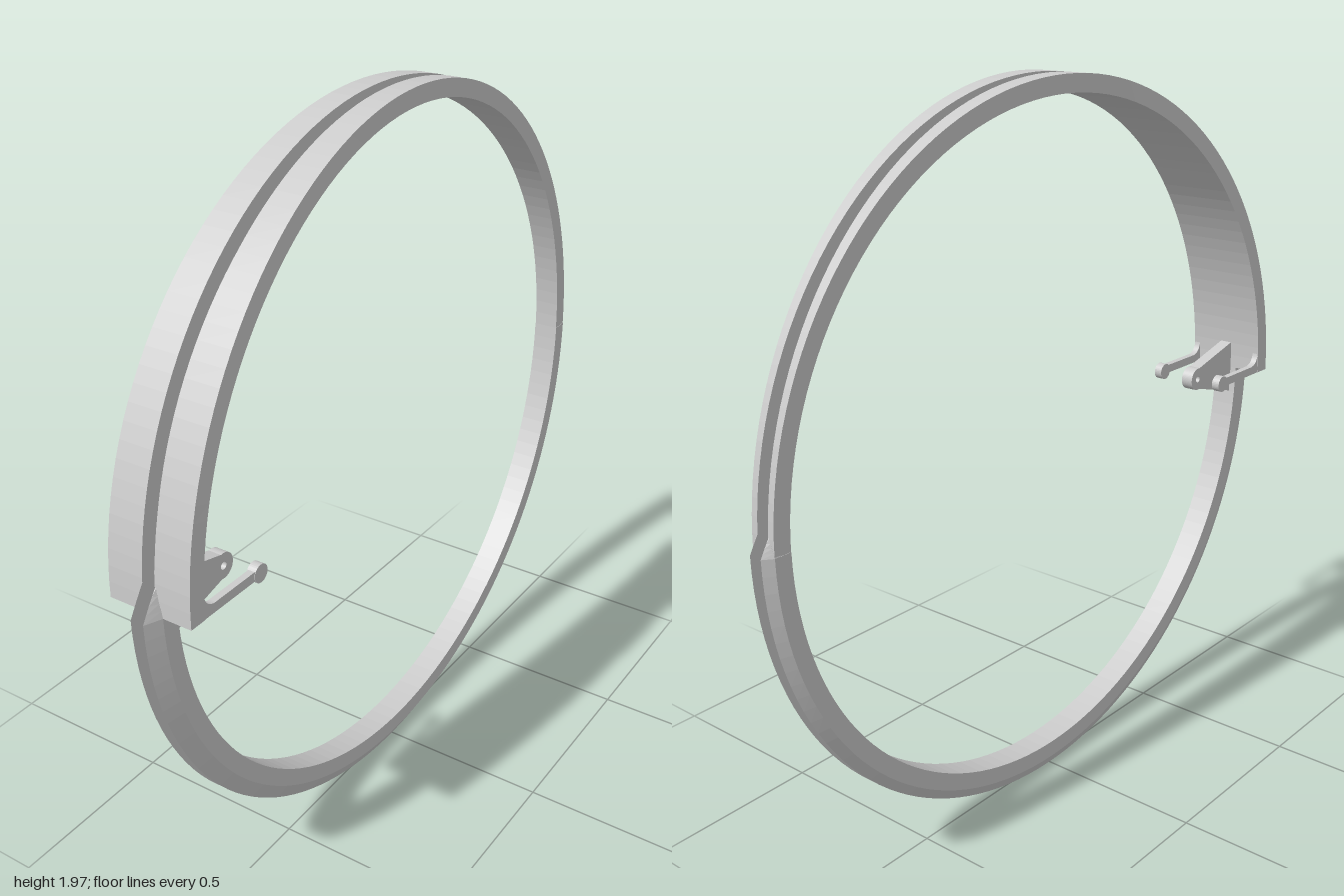
import * as THREE from 'three';

const CZ = -0.01, INNER = 0.919, FLOOR = 0.922, OUTER = 0.966, GROOVE = 0.018, RIM_W = 0.037;
const mat = new THREE.MeshStandardMaterial({ color: 0xcccccc, flatShading: true });

// Sweep a closed (x, radius) section around the hoop; angle 0 is front, PI/2 is top
function sweep(sectionAt, from, to, segments) {
  const rows = [], pos = [];
  for (let i = 0; i <= segments; i++) {
    const a = from + (to - from) * i / segments;
    rows.push(sectionAt(a, i / segments).map(([x, r]) =>
      [x, 1 + r * Math.sin(a), CZ + r * Math.cos(a)]));
  }
  const n = rows[0].length;
  const tri = (a, b, c) => pos.push(...a, ...b, ...c);
  for (let i = 0; i < segments; i++) {
    for (let j = 0; j < n; j++) {
      const k = (j + 1) % n, p = rows[i], q = rows[i + 1];
      tri(p[j], q[j], p[k]);
      tri(p[k], q[j], q[k]);
    }
  }
  // End caps
  const caps = [[from, 0], [to, 1]];
  for (const [a, t] of caps) {
    const pts = sectionAt(a, t).map(([x, r]) => new THREE.Vector2(x, r));
    const row = rows[t * segments];
    for (const [u, v, w] of THREE.ShapeUtils.triangulateShape(pts, [])) {
      if (t) tri(row[u], row[w], row[v]);
      else tri(row[u], row[v], row[w]);
    }
  }
  const geo = new THREE.BufferGeometry();
  geo.setAttribute('position', new THREE.Float32BufferAttribute(pos, 3));
  geo.computeVertexNormals();
  return geo;
}

// Grooved channel: side wall height and lip height may differ
const channel = (w, side, lip) => [
  [-w, INNER], [w, INNER], [w, side], [GROOVE, lip], [GROOVE, FLOOR],
  [-GROOVE, FLOOR], [-GROOVE, lip], [-w, side],
];
const lipRadius = a => 1 + 0.01 * Math.cos(a);
const bandWidth = a => 0.117 - (0.95 - (CZ + OUTER * Math.cos(a))) * 0.042;

// Extrude a (z, y) outline across x, centred on the given x
function slab(shape, x, thickness) {
  const geo = new THREE.ExtrudeGeometry(shape, { depth: thickness, bevelEnabled: false, curveSegments: 16 });
  geo.rotateY(-Math.PI / 2);
  geo.translate(x + thickness / 2, 0, 0);
  return geo;
}

export function createModel() {
  const group = new THREE.Group();
  const add = (name, geo) => {
    const mesh = new THREE.Mesh(geo, mat);
    mesh.name = name;
    group.add(mesh);
    return mesh;
  };

  // Upper half: wide at the front, tapering to the back
  add('upperBand', sweep(a => channel(bandWidth(a), OUTER, OUTER), 0, Math.PI, 72));
  // Lower half: narrow rim with bevelled lips
  add('lowerRim', sweep(a => channel(RIM_W, OUTER, lipRadius(a)), -Math.PI, 0, 72));

  // Ramps where the lower lips run out onto the upper band
  const ramp = (s, a, t) => {
    const w = RIM_W + (GROOVE + 0.003 - RIM_W) * t;
    const lip = THREE.MathUtils.lerp(lipRadius(a), OUTER, t);
    const pts = [[GROOVE, 0.95], [w, 0.95], [w, OUTER], [GROOVE, lip]];
    return s > 0 ? pts : pts.map(([x, r]) => [-x, r]).reverse();
  };
  for (const s of [1, -1]) {
    const side = s > 0 ? 'left' : 'right';
    add(side + 'FrontRamp', sweep((a, t) => ramp(s, a, t), 0, 0.075, 4));
    add(side + 'BackRamp', sweep((a, t) => ramp(s, a, 1 - t), Math.PI - 0.045, Math.PI, 4));
  }

  // Central hinge plate with a pin hole
  const plate = new THREE.Shape();
  plate.moveTo(0.914, 0.92);
  plate.lineTo(0.914, 1.083);
  plate.lineTo(0.73, 1.037);
  plate.absarc(0.722, 1.003, 0.034, 1.34, 4.94, false);
  plate.lineTo(0.914, 0.92);
  const hole = new THREE.Path();
  hole.absarc(0.722, 1.003, 0.01, 0, Math.PI * 2, true);
  plate.holes.push(hole);
  add('hingePlate', slab(plate, 0, 0.036));

  // Slim latch arms with a rounded foot and a knob at the tip
  const arm = new THREE.Shape();
  arm.moveTo(0.93, 1.0);
  arm.lineTo(0.93, 1.075);
  arm.lineTo(0.908, 1.075);
  arm.quadraticCurveTo(0.908, 1.027, 0.87, 1.025);
  arm.lineTo(0.73, 1.025);
  arm.lineTo(0.71, 1.0);
  arm.closePath();
  const knob = new THREE.Shape();
  knob.absarc(0.708, 1.01, 0.024, 0, Math.PI * 2, false);
  for (const s of [1, -1]) {
    const side = s > 0 ? 'left' : 'right';
    add(side + 'LatchArm', slab(arm, s * 0.107, 0.018));
    add(side + 'LatchKnob', slab(knob, s * 0.105, 0.024));
  }
  return group;
}
